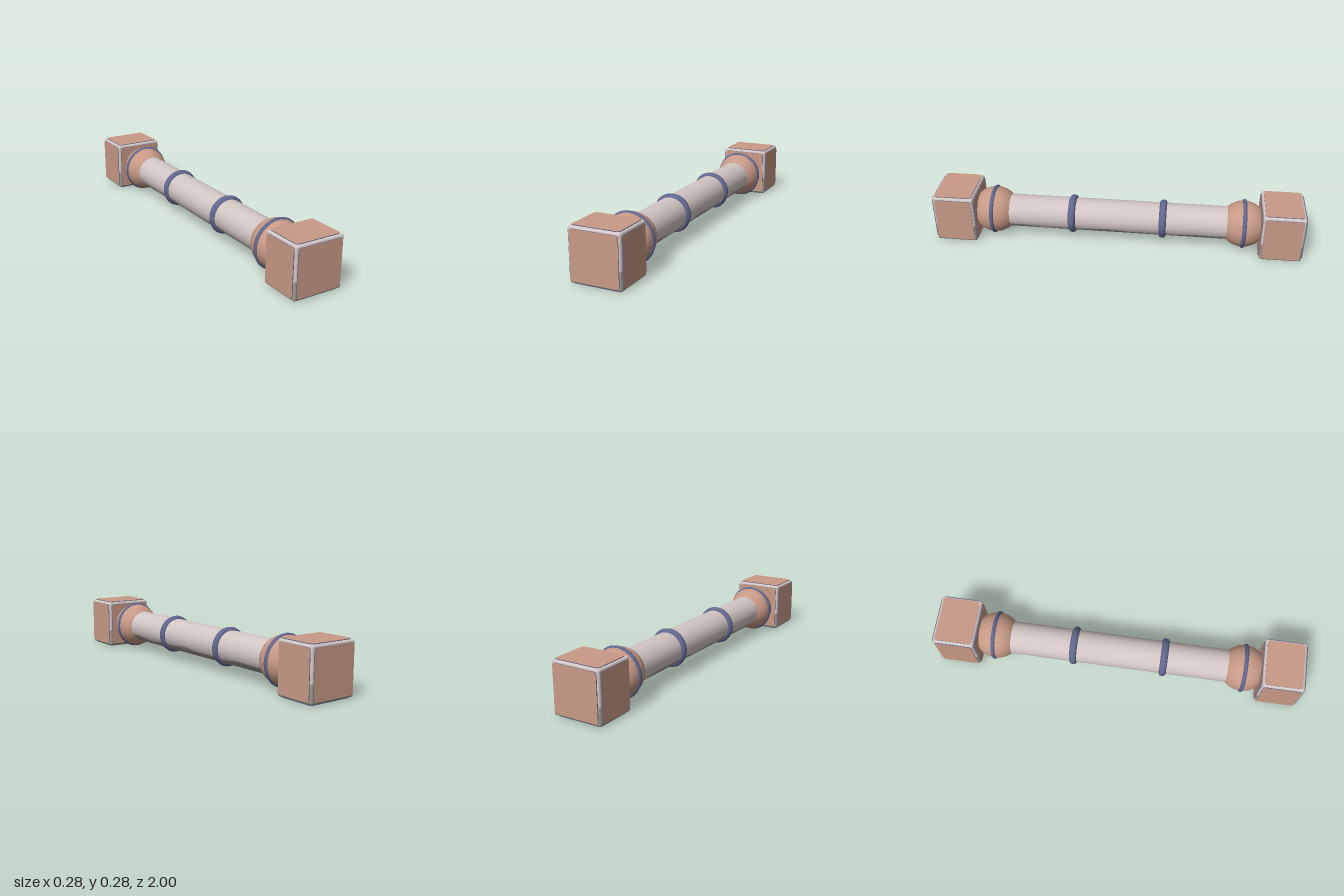
import * as THREE from 'three';
import { RoundedBoxGeometry } from 'three/addons/geometries/RoundedBoxGeometry.js';

const CY = 0.139; // height of the long axis
const SPLIT = 0.1; // the frames are weathered below this height

const mat = (name, color, side = THREE.FrontSide) => {
  const m = new THREE.MeshStandardMaterial({ color, side });
  m.name = name;
  return m;
};

// Wavy edge of the weathered underside, as an angle from straight down
const wave = (z) => 0.98 + 0.11 * Math.sin(11 * z + 1) + 0.06 * Math.sin(27 * z);

// Strip of the shaft between two angles that vary along z
function shaftStrip(from, to, radius, length) {
  const geo = new THREE.PlaneGeometry(1, 1, 24, 60);
  const p = geo.attributes.position, n = geo.attributes.normal;
  for (let i = 0; i < p.count; i++) {
    const z = p.getY(i) * length;
    const t = THREE.MathUtils.lerp(from(z), to(z), p.getX(i) + 0.5);
    p.setXYZ(i, Math.sin(t) * radius, -Math.cos(t) * radius, z);
    n.setXYZ(i, Math.sin(t), -Math.cos(t), 0);
  }
  return geo;
}

// Rounded block cut flat at the split height; keeps the upper or lower piece
function framePiece(upper) {
  const geo = new RoundedBoxGeometry(0.271, 0.27, 0.223, 4, 0.012);
  const p = geo.attributes.position, cut = SPLIT - CY;
  for (let i = 0; i < p.count; i++) {
    const y = p.getY(i);
    p.setY(i, upper ? Math.max(y, cut) : Math.min(y, cut));
  }
  return geo;
}

// Thin panel with rounded corners, lying on z = 0 and facing +z
function panelGeometry(w, h) {
  const r = 0.016, x = w / 2, y = h / 2;
  const s = new THREE.Shape();
  s.moveTo(-x + r, -y);
  s.lineTo(x - r, -y);
  s.absarc(x - r, -y + r, r, -Math.PI / 2, 0);
  s.absarc(x - r, y - r, r, 0, Math.PI / 2);
  s.absarc(-x + r, y - r, r, Math.PI / 2, Math.PI);
  s.absarc(-x + r, -y + r, r, Math.PI, Math.PI * 1.5);
  return new THREE.ExtrudeGeometry(s, { depth: 0.0045, bevelEnabled: false, curveSegments: 5 });
}

export function createModel() {
  const clay = mat('clay', 0xc89a87);
  const pale = mat('pale stone', 0xd2c6c4);
  const stain = mat('weathered stone', 0x9c978c);
  const blue = mat('slate blue', 0x63688f);

  const model = new THREE.Group();
  model.name = 'pillar';
  const add = (parent, name, geo, material, z = 0) => {
    const mesh = new THREE.Mesh(geo, material);
    mesh.name = name;
    mesh.position.z = z;
    parent.add(mesh);
    return mesh;
  };

  const body = new THREE.Group();
  body.name = 'body';
  body.position.y = CY;
  model.add(body);

  // Shaft with a weathered underside
  const low = (z) => -wave(-z + 0.3);
  add(body, 'shaftUnderside', shaftStrip(low, wave, 0.089, 1.26), stain);
  add(body, 'shaft', shaftStrip(wave, (z) => low(z) + Math.PI * 2, 0.089, 1.26), pale);

  for (const side of [1, -1]) {
    // Band on the shaft
    const band = new THREE.TorusGeometry(0.087, 0.018, 10, 40);
    add(body, 'shaftBand', band, blue, side * 0.247).scale.z = 1.15;

    // Ball and its girdle
    const ball = new THREE.SphereGeometry(0.126, 32, 16);
    ball.rotateX(Math.PI / 2);
    add(body, 'ball', ball, clay, side * 0.682);
    add(body, 'ballBand', new THREE.TorusGeometry(0.121, 0.0125, 8, 48), blue, side * 0.682);

    // End block: frame and six raised panels
    const block = new THREE.Group();
    block.name = 'endBlock';
    block.position.z = side * 0.884;
    body.add(block);
    add(block, 'frame', framePiece(true), pale);
    add(block, 'frameBase', framePiece(false), stain);

    const hx = 0.1348, hy = 0.1343, hz = 0.1113, H = Math.PI / 2;
    const panels = [
      // width, height, rotation x, rotation y, position
      [0.248, 0.246, 0, 0, [0, 0, hz]],
      [0.248, 0.246, 0, Math.PI, [0, 0, -hz]],
      [0.2, 0.246, 0, H, [hx, 0, 0]],
      [0.2, 0.246, 0, -H, [-hx, 0, 0]],
      [0.248, 0.2, -H, 0, [0, hy, 0]],
      [0.248, 0.2, H, 0, [0, -hy, 0]],
    ];
    for (const [w, h, rx, ry, pos] of panels) {
      const panel = add(block, 'panel', panelGeometry(w, h), [clay, blue]);
      panel.rotation.set(rx, ry, 0);
      panel.position.set(...pos);
    }
  }
  return model;
}
